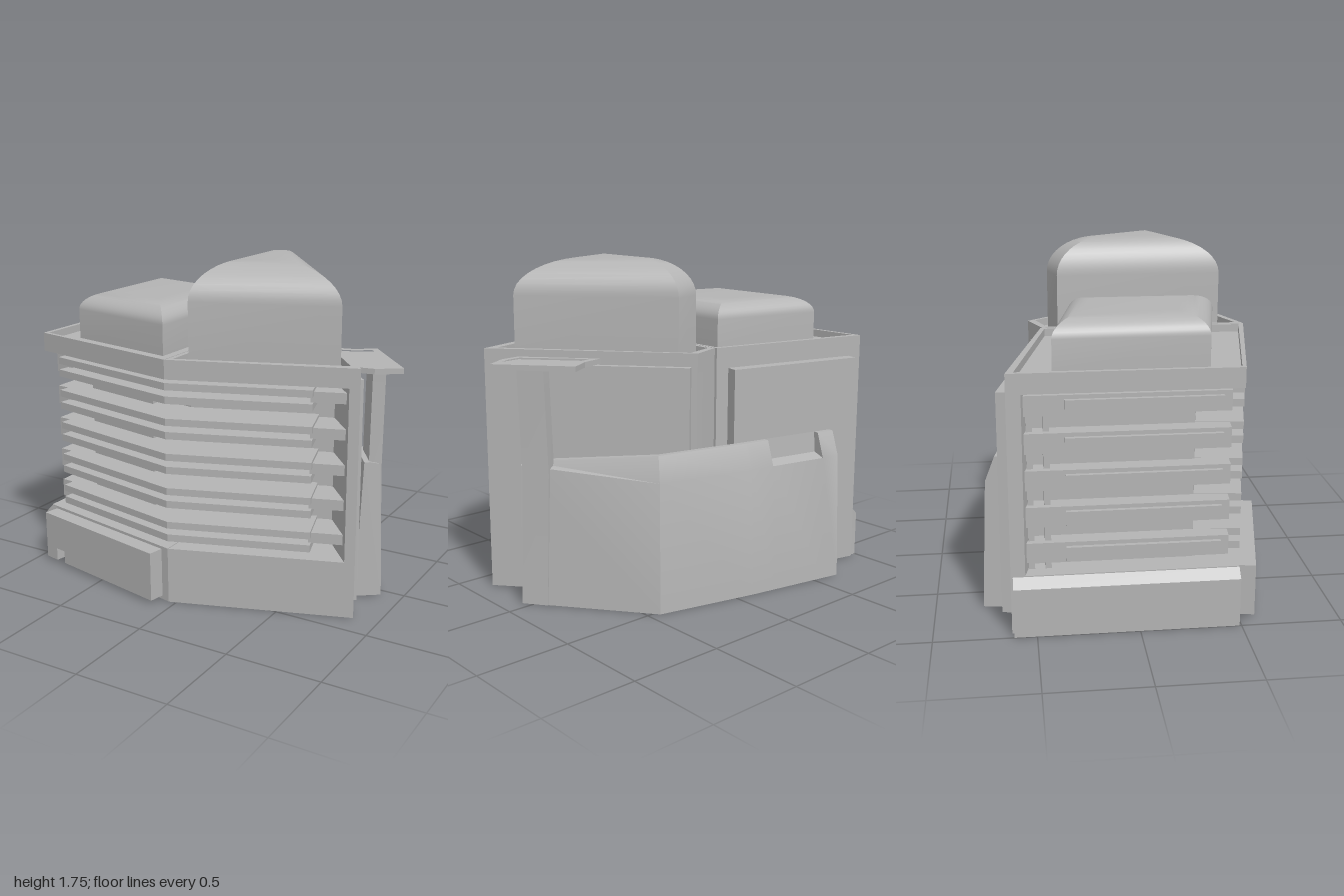
import * as THREE from 'three';
import { toCreasedNormals } from 'three/addons/utils/BufferGeometryUtils.js';

export function createModel() {
  const group = new THREE.Group();
  const concrete = new THREE.MeshStandardMaterial({ color: 0xb4b4b4 });
  concrete.name = 'concrete grey';

  const add = (name, geo) => {
    const mesh = new THREE.Mesh(geo, concrete);
    mesh.name = name;
    group.add(mesh);
    return mesh;
  };

  // Vertical prism over an [x, z] outline, with an optional opening
  const prism = (name, pts, y0, y1, hole) => {
    const vec = p => p.map(([x, z]) => new THREE.Vector2(x, -z));
    const shape = new THREE.Shape(vec(pts));
    if (hole) shape.holes.push(new THREE.Path(vec(hole)));
    const geo = new THREE.ExtrudeGeometry(shape, { depth: y1 - y0, bevelEnabled: false });
    geo.rotateX(-Math.PI / 2).translate(0, y0, 0);
    return add(name, geo);
  };

  // Skin over closed rings of [x, y, z] points, capped at both ends
  const loft = (name, rings) => {
    const pos = [];
    const tri = (a, b, c) => pos.push(...a, ...b, ...c);
    const n = rings[0].length;
    for (let i = 0; i < rings.length - 1; i++) {
      for (let j = 0; j < n; j++) {
        const k = (j + 1) % n;
        tri(rings[i][j], rings[i][k], rings[i + 1][k]);
        tri(rings[i][j], rings[i + 1][k], rings[i + 1][j]);
      }
    }
    const first = rings[0], last = rings[rings.length - 1];
    for (let j = 1; j < n - 1; j++) {
      tri(first[0], first[j + 1], first[j]);
      tri(last[0], last[j], last[j + 1]);
    }
    const geo = new THREE.BufferGeometry();
    geo.setAttribute('position', new THREE.Float32BufferAttribute(pos, 3));
    return add(name, toCreasedNormals(geo, 0.5));
  };

  const mix = (a, b, t) => a.map((v, i) => v + (b[i] - v) * t);

  // Plate standing on the line a-b, pushed out along [nx, nz]
  const plate = (name, a, b, out, y0, y1) => prism(name,
    [a, b, [b[0] + out[0], b[1] + out[1]], [a[0] + out[0], a[1] + out[1]]], y0, y1);

  // Two wings meeting at a shallow corner at the front
  const leftWing = [[-0.955, 0.49], [-0.04, 0.68], [-0.04, -0.42], [-0.955, -0.62]];
  const rightWing = [[-0.035, 0.68], [0.87, 0.365], [0.15, -0.48], [-0.035, -0.41]];
  const leftRoof = [[-0.93, 0.475], [-0.06, 0.65], [-0.06, -0.4], [-0.93, -0.58]];
  const rightRoof = [[-0.01, 0.64], [0.805, 0.34], [0.16, -0.44], [-0.01, -0.385]];
  prism('leftBase', leftWing, 0, 0.3);
  prism('rightBase', rightWing, 0, 0.3);
  prism('leftRoof', leftWing, 1.2, 1.26);
  prism('rightRoof', rightWing, 1.2, 1.26);
  prism('leftParapet', leftWing, 1.26, 1.3, leftRoof);
  prism('rightParapet', rightWing, 1.26, 1.3, rightRoof);

  // Recessed core and the outer walls
  prism('core', [[-0.82, 0.28], [-0.04, 0.44], [0.7, 0.18], [0.15, -0.45],
    [0, -0.39], [-0.04, -0.4], [-0.82, -0.57]], 0.3, 1.2);
  plate('leftBackWall', [-0.955, -0.62], [-0.04, -0.42], [0, 0.07], 0.3, 1.2);
  plate('rightBackWall', [-0.035, -0.41], [0.15, -0.48], [0, 0.07], 0.3, 1.2);
  plate('rightSideWall', [0.15, -0.48], [0.87, 0.365], [-0.05, 0.018], 0.3, 1.2);
  plate('backPanel', [-0.88, -0.6], [-0.11, -0.435], [0.015, -0.065], 0.07, 1.19);
  plate('sidePanel', [0.17, -0.455], [0.83, 0.32], [0.028, -0.02], 0.07, 1.23);

  // Chamfered plinth along the left side
  loft('sidePlinth', [[0, -1], [0.25, -1], [0.3, -0.95]].map(([y, x]) =>
    [[x, y, 0.49], [-0.9, y, 0.5], [-0.9, y, -0.6], [x, y, -0.61]]));

  // Front base panel with a small notch
  const panelShape = new THREE.Shape([[0, 0.02], [0.085, 0.02], [0.085, 0.09], [0.15, 0.09],
    [0.15, 0.02], [0.85, 0.02], [0.85, 0.285], [0, 0.285]].map(p => new THREE.Vector2(...p)));
  const panel = add('frontBasePanel',
    new THREE.ExtrudeGeometry(panelShape, { depth: 0.09, bevelEnabled: false }));
  panel.rotation.y = -0.205;
  panel.position.set(-0.915, 0, 0.49);

  // Floors: paired balcony slabs, side ledges, end tabs and hung boxes
  const slab = [[-0.84, 0.513], [-0.04, 0.68], [0.655, 0.44], [0.58, 0.2], [-0.04, 0.4], [-0.81, 0.26]];
  for (let i = 0; i < 5; i++) {
    const y = 1.075 - i * 0.1835;
    prism('lowerSlab', slab, y, y + 0.038);
    prism('upperSlab', slab, y + 0.07, y + 0.107);
    prism('windowBand', [[-0.8, 0.33], [-0.04, 0.48], [0.62, 0.255], [0.5, 0.15], [-0.8, 0.2]],
      y + 0.038, y + 0.07);
    prism('sideLedge', [[-0.91, 0.44], [-0.8, 0.45], [-0.8, -0.54], [-0.91, -0.56]], y + 0.005, y + 0.105);
    prism('sideRail', [[-0.932, 0.4], [-0.9, 0.4], [-0.9, -0.35], [-0.932, -0.35]], y + 0.015, y + 0.085);
    prism('endTab', [[0.63, 0.41], [0.805, 0.35], [0.75, 0.2], [0.58, 0.2]], y + 0.037, y + 0.092);
    prism('hungBox', [[-0.635, 0.485], [-0.18, 0.58], [-0.18, 0.38], [-0.635, 0.29]], y - 0.045, y);
    for (const z of [-0.5, -0.42]) {
      prism('sidePost', [[-0.88, z], [-0.81, z], [-0.81, z - 0.03], [-0.88, z - 0.03]], y - 0.08, y + 0.01);
    }
  }

  // Rounded rooftop volumes: straight sides, then an elliptical shoulder
  const dome = (name, foot, crown, yBase, ySide, yTop) => {
    const rings = [foot.map(([x, z]) => [x, yBase, z])];
    for (let i = 0; i <= 10; i++) {
      const a = (i / 10) * Math.PI / 2;
      const y = ySide + (yTop - ySide) * Math.sin(a);
      rings.push(foot.map((p, j) => {
        const [x, z] = mix(p, crown[j], 1 - Math.cos(a));
        return [x, y, z];
      }));
    }
    loft(name, rings);
  };
  dome('leftRooftopVolume',
    [[-0.815, 0.35], [-0.18, 0.48], [-0.18, -0.28], [-0.815, -0.4]],
    [[-0.66, 0.22], [-0.33, 0.29], [-0.33, -0.18], [-0.66, -0.25]], 1.25, 1.42, 1.513);
  dome('rightRooftopVolume',
    [[0.02, 0.55], [0.73, 0.29], [0.18, -0.37], [0.02, -0.325]],
    [[0.16, 0.24], [0.33, 0.17], [0.2, -0.1], [0.16, -0.08]], 1.25, 1.57, 1.755);

  // Screen wall wrapping the back: [outer foot, inward direction, shoulder y, top y, slot]
  const s0 = [-0.66, -0.76], s1 = [-0.1, -0.655];
  const inA = [-0.16, 0.98];
  const stations = [
    [s0, inA, 0.68, 0.81], [mix(s0, s1, 0.18), inA, 0.68, 0.81],
    [mix(s0, s1, 0.181), inA, 0.68, 0.81, true], [mix(s0, s1, 0.76), inA, 0.68, 0.81, true],
    [mix(s0, s1, 0.761), inA, 0.68, 0.81], [s1, inA, 0.68, 0.81],
    [[0.44, -0.53], [-0.55, 0.83], 0.68, 0.81], [[0.885, 0.05], [-0.81, 0.59], 0.735, 0.745],
  ];
  loft('screenWall', stations.map(([p, d, yShoulder, yTop, slot]) => {
    const at = (w, y) => [p[0] + d[0] * w, y, p[1] + d[1] * w];
    return [at(0, 0), at(0.03, yShoulder), slot ? at(0.1, 0.7) : at(0.08, yTop),
      at(0.11, yTop), at(0.14, 0)];
  }));

  // Tall pillar at the end of the screen wall
  loft('pillar', [[0, 0.888, 0.05], [0.7, 0.864, 0.05], [1.24, 0.875, 0.062]].map(([y, x, z]) =>
    [[x, y, z], [x - 0.083, y, z - 0.113], [x - 0.14, y, z - 0.08], [x - 0.057, y, z + 0.033]]));

  // Canopy tray on the pillar
  const canopy = [[0.48, -0.11], [0.6, -0.14], [0.71, -0.21], [0.99, 0.12], [0.87, 0.2], [0.76, 0.215]];
  const tray = [[0.53, -0.085], [0.62, -0.11], [0.7, -0.165], [0.94, 0.115], [0.86, 0.165], [0.775, 0.18]];
  prism('canopy', canopy, 1.236, 1.25);
  prism('canopyRim', canopy, 1.25, 1.264, tray);

  return group;
}
